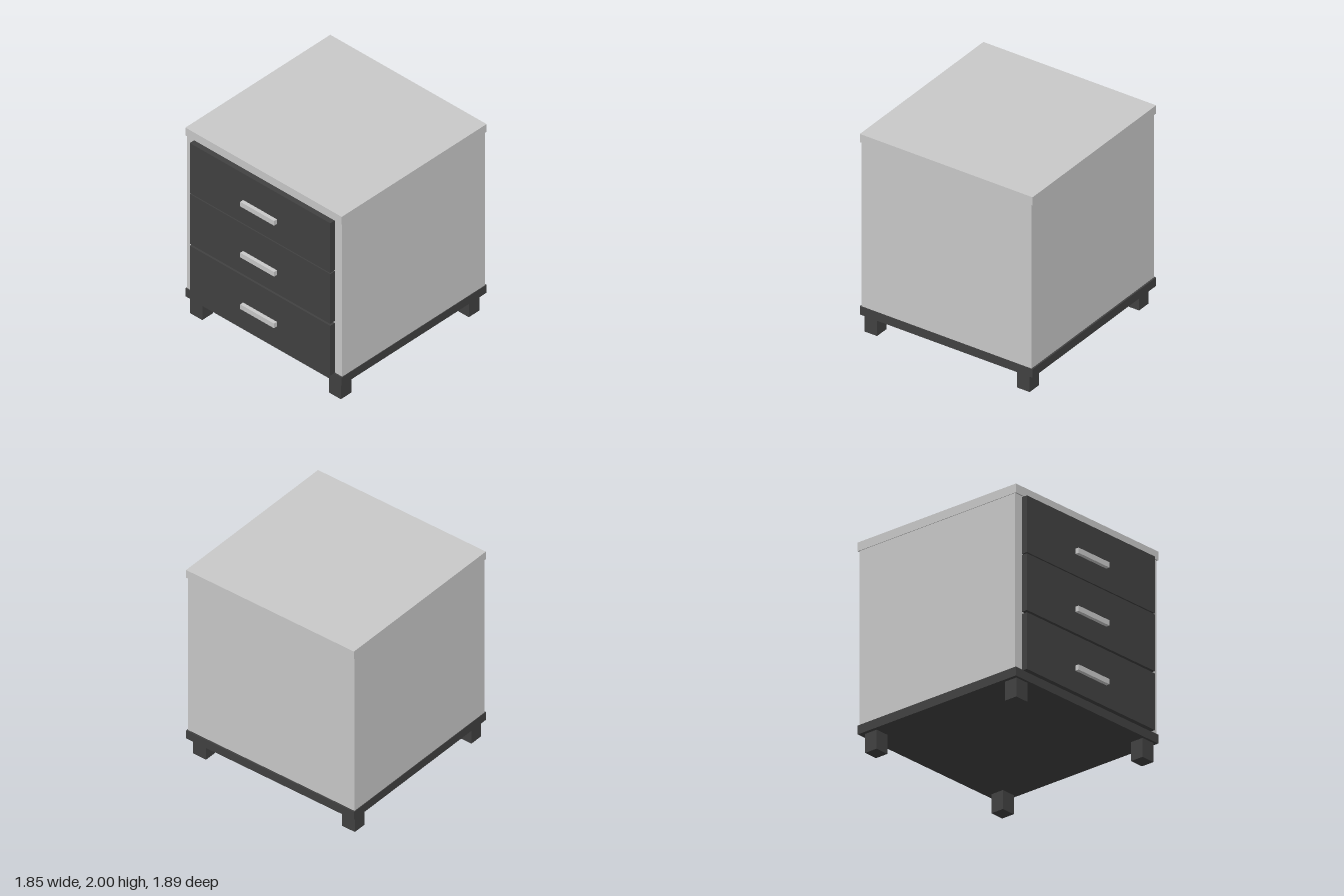
import * as THREE from 'three';

export function createModel() {
  const model = new THREE.Group();
  model.name = 'drawerCabinet';

  const lightGrey = new THREE.MeshStandardMaterial({ color: 0xc9c9c9 });
  lightGrey.name = 'light grey';
  const charcoal = new THREE.MeshStandardMaterial({ color: 0x414141 });
  charcoal.name = 'charcoal';

  // Box given by its [min, max] extent on each axis
  function addBox(name, material, [x0, x1], [y0, y1], [z0, z1], parent = model) {
    const mesh = new THREE.Mesh(new THREE.BoxGeometry(x1 - x0, y1 - y0, z1 - z0), material);
    mesh.position.set((x0 + x1) / 2, (y0 + y1) / 2, (z0 + z1) / 2);
    mesh.name = name;
    parent.add(mesh);
  }

  // Carcass between a slightly overhanging top and base
  addBox('body', lightGrey, [-0.918, 0.918], [0.265, 1.917], [-0.93, 0.855]);
  addBox('topPanel', lightGrey, [-0.924, 0.924], [1.917, 2], [-0.946, 0.868]);
  addBox('basePanel', charcoal, [-0.924, 0.924], [0.18, 0.265], [-0.946, 0.868]);

  // Drawer fronts, each with a bar handle
  const drawers = [
    { name: 'bottomDrawer', y: 0.261, handleY: 0.464 },
    { name: 'middleDrawer', y: 0.82, handleY: 1.021 },
    { name: 'topDrawer', y: 1.369, handleY: 1.571 },
  ];
  for (const { name, y, handleY } of drawers) {
    const drawer = new THREE.Group();
    drawer.name = name;
    addBox('drawerFront', charcoal, [-0.83, 0.83], [y, y + 0.538], [0.855, 0.912], drawer);
    addBox('handle', lightGrey, [-0.2, 0.2], [handleY, handleY + 0.05], [0.912, 0.948], drawer);
    model.add(drawer);
  }

  // Four square legs
  for (const [side, x] of [['Left', 0.819], ['Right', -0.819]]) {
    for (const [end, z] of [['front', 0.777], ['back', -0.825]]) {
      addBox(`${end}${side}Leg`, charcoal, [x - 0.071, x + 0.071], [0, 0.18], [z - 0.066, z + 0.066]);
    }
  }

  return model;
}
